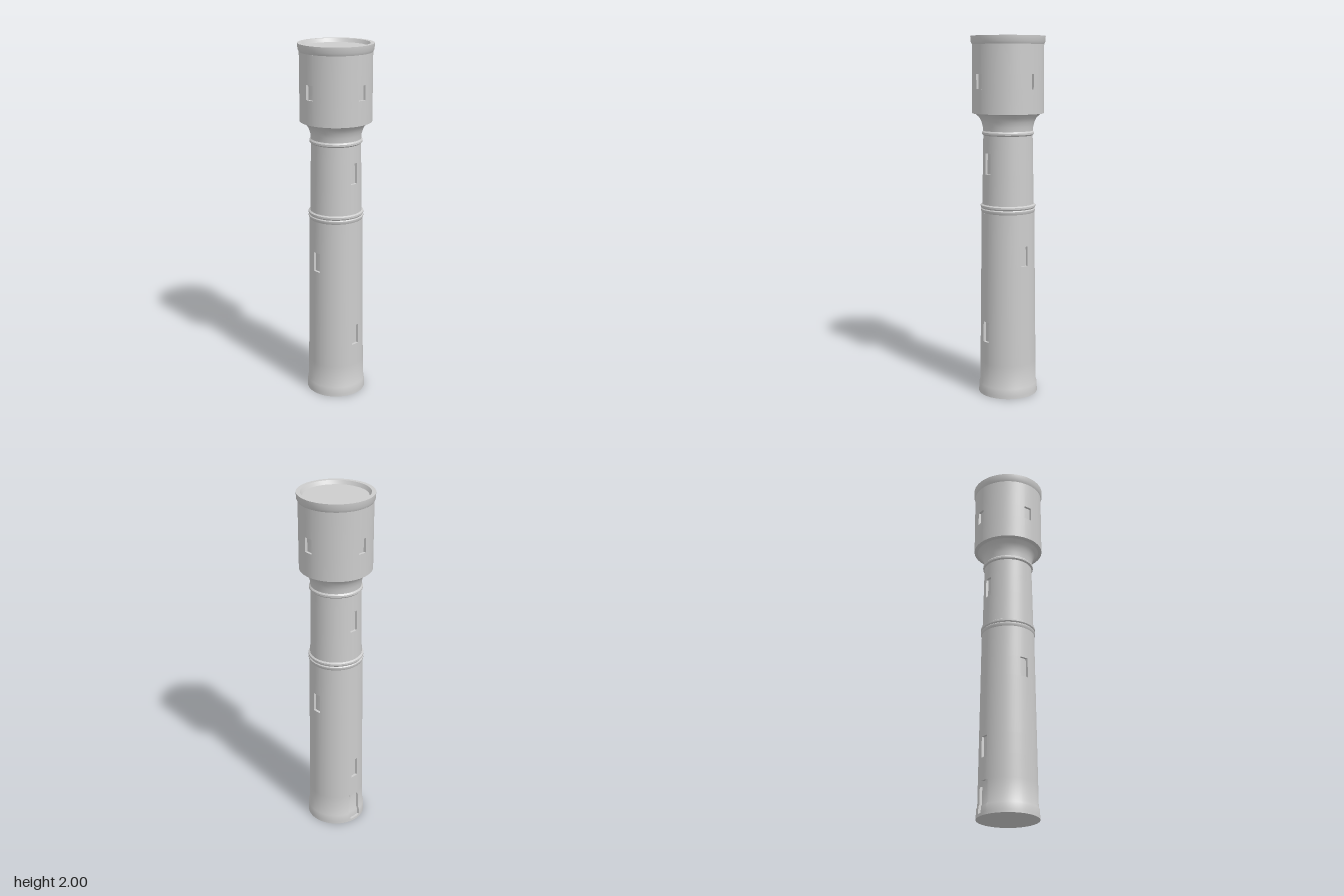
import * as THREE from 'three';
import { toCreasedNormals } from 'three/addons/utils/BufferGeometryUtils.js';

const SEGMENTS = 64;
const DEPTH = 0.014; // how far windows and door sit back in the wall
const FRONT = 0, LEFT = Math.PI / 2, BACK = Math.PI, RIGHT = Math.PI * 1.5;

const stone = new THREE.MeshStandardMaterial({ color: 0xcccccc });
stone.name = 'grey stone';

function addMesh(group, name, geometry) {
  const mesh = new THREE.Mesh(geometry, stone);
  mesh.name = name;
  group.add(mesh);
  return mesh;
}

// Turned part from [radius, height] pairs, listed from bottom to top outside
function turned(profile) {
  const points = profile.map(([r, y]) => new THREE.Vector2(r, y));
  return toCreasedNormals(new THREE.LatheGeometry(points, SEGMENTS), 0.5);
}

// Round wall with recessed rectangular openings
function recessedWall(profile, openings) {
  const radiusAt = (y) => {
    let i = 0;
    while (i < profile.length - 2 && y > profile[i + 1][1]) i++;
    const [r0, y0] = profile[i], [r1, y1] = profile[i + 1];
    return r0 + (r1 - r0) * (y - y0) / (y1 - y0);
  };
  const cuts = openings.map(({ angle, y0, y1, width }) => {
    const half = Math.asin(width / 2 / radiusAt((y0 + y1) / 2));
    return { t0: angle - half, t1: angle + half, y0, y1 };
  });
  const sorted = (list) => [...new Set(list)].sort((a, b) => a - b);
  const rows = sorted([...profile.map((p) => p[1]), ...cuts.flatMap((c) => [c.y0, c.y1])]);
  const uniform = Array.from({ length: SEGMENTS + 1 }, (_, i) => -Math.PI / 4 + i / SEGMENTS * Math.PI * 2);
  const columns = sorted([...uniform, ...cuts.flatMap((c) => [c.t0, c.t1])]);

  const positions = [];
  const point = (t, y, inset) => {
    const r = radiusAt(y) - inset;
    return [r * Math.sin(t), y, r * Math.cos(t)];
  };
  const quad = (a, b, c, d) => positions.push(...a, ...b, ...c, ...a, ...c, ...d);

  for (let j = 0; j < rows.length - 1; j++) {
    for (let i = 0; i < columns.length - 1; i++) {
      const y0 = rows[j], y1 = rows[j + 1], t0 = columns[i], t1 = columns[i + 1];
      const tm = (t0 + t1) / 2, ym = (y0 + y1) / 2;
      const cut = cuts.find((c) => tm > c.t0 && tm < c.t1 && ym > c.y0 && ym < c.y1);
      const corners = (inset) => [point(t0, y0, inset), point(t1, y0, inset), point(t1, y1, inset), point(t0, y1, inset)];
      const outer = corners(0);
      if (!cut) { quad(...outer); continue; }
      // Back of the recess and the reveals around it
      const inner = corners(DEPTH);
      quad(...inner);
      if (y0 === cut.y0) quad(outer[0], outer[1], inner[1], inner[0]);
      if (t1 === cut.t1) quad(outer[1], outer[2], inner[2], inner[1]);
      if (y1 === cut.y1) quad(outer[2], outer[3], inner[3], inner[2]);
      if (t0 === cut.t0) quad(outer[3], outer[0], inner[0], inner[3]);
    }
  }
  const geometry = new THREE.BufferGeometry();
  geometry.setAttribute('position', new THREE.Float32BufferAttribute(positions, 3));
  return toCreasedNormals(geometry, 0.5);
}

const windowOpening = (angle, y0, y1) => ({ angle, y0, y1, width: 0.048 });

export function createModel() {
  const tower = new THREE.Group();
  tower.name = 'tower';

  // Underside
  addMesh(tower, 'base', turned([[0, 0], [0.167, 0]]));

  // Lower shaft with splayed foot, windows and door
  const door = { angle: RIGHT, y0: 0.015, y1: 0.185, width: 0.07 };
  addMesh(tower, 'lowerShaft', recessedWall(
    [[0.167, 0], [0.164, 0.055], [0.159, 0.065], [0.147, 1.04]],
    [
      windowOpening(FRONT, 0.75, 0.86), windowOpening(BACK, 0.75, 0.86),
      windowOpening(LEFT, 0.31, 0.425), windowOpening(RIGHT, 0.31, 0.425),
      door,
    ]));

  // Cut-off upper corners of the doorway
  const doorCorners = new THREE.Group();
  doorCorners.name = 'doorCorners';
  for (const side of [-1, 1]) {
    const corner = new THREE.Shape([
      new THREE.Vector2(side * 0.035, door.y1),
      new THREE.Vector2(side * 0.015, door.y1),
      new THREE.Vector2(side * 0.035, door.y1 - 0.03),
    ]);
    const geometry = new THREE.ExtrudeGeometry(corner, { depth: 0.014, bevelEnabled: false });
    geometry.translate(0, 0, 0.14);
    addMesh(doorCorners, 'doorCorner', geometry);
  }
  doorCorners.rotation.y = RIGHT;
  tower.add(doorCorners);

  // Middle band
  addMesh(tower, 'middleBand', turned([
    [0.147, 1.04], [0.152, 1.05], [0.152, 1.058], [0.147, 1.063],
    [0.152, 1.07], [0.152, 1.08], [0.143, 1.086],
  ]));

  // Upper shaft
  addMesh(tower, 'upperShaft', recessedWall(
    [[0.143, 1.086], [0.136, 1.465]],
    [windowOpening(LEFT, 1.255, 1.37), windowOpening(RIGHT, 1.255, 1.37)]));

  // Neck band and the flare that carries the head
  addMesh(tower, 'neckBand', turned([
    [0.136, 1.465], [0.144, 1.472], [0.144, 1.482], [0.137, 1.49],
  ]));
  addMesh(tower, 'flare', turned([
    [0.137, 1.49], [0.139, 1.515], [0.146, 1.54], [0.158, 1.563], [0.176, 1.58], [0.196, 1.585],
  ]));

  // Head with a window on every side
  addMesh(tower, 'head', recessedWall(
    [[0.196, 1.585], [0.196, 1.955]],
    [FRONT, LEFT, BACK, RIGHT].map((angle) => windowOpening(angle, 1.718, 1.797))));

  // Parapet rim and sunken roof
  addMesh(tower, 'parapet', turned([
    [0.196, 1.955], [0.203, 1.97], [0.204, 2], [0.182, 2], [0.171, 1.98],
  ]));
  addMesh(tower, 'roof', turned([[0.171, 1.98], [0, 1.98]]));

  return tower;
}
